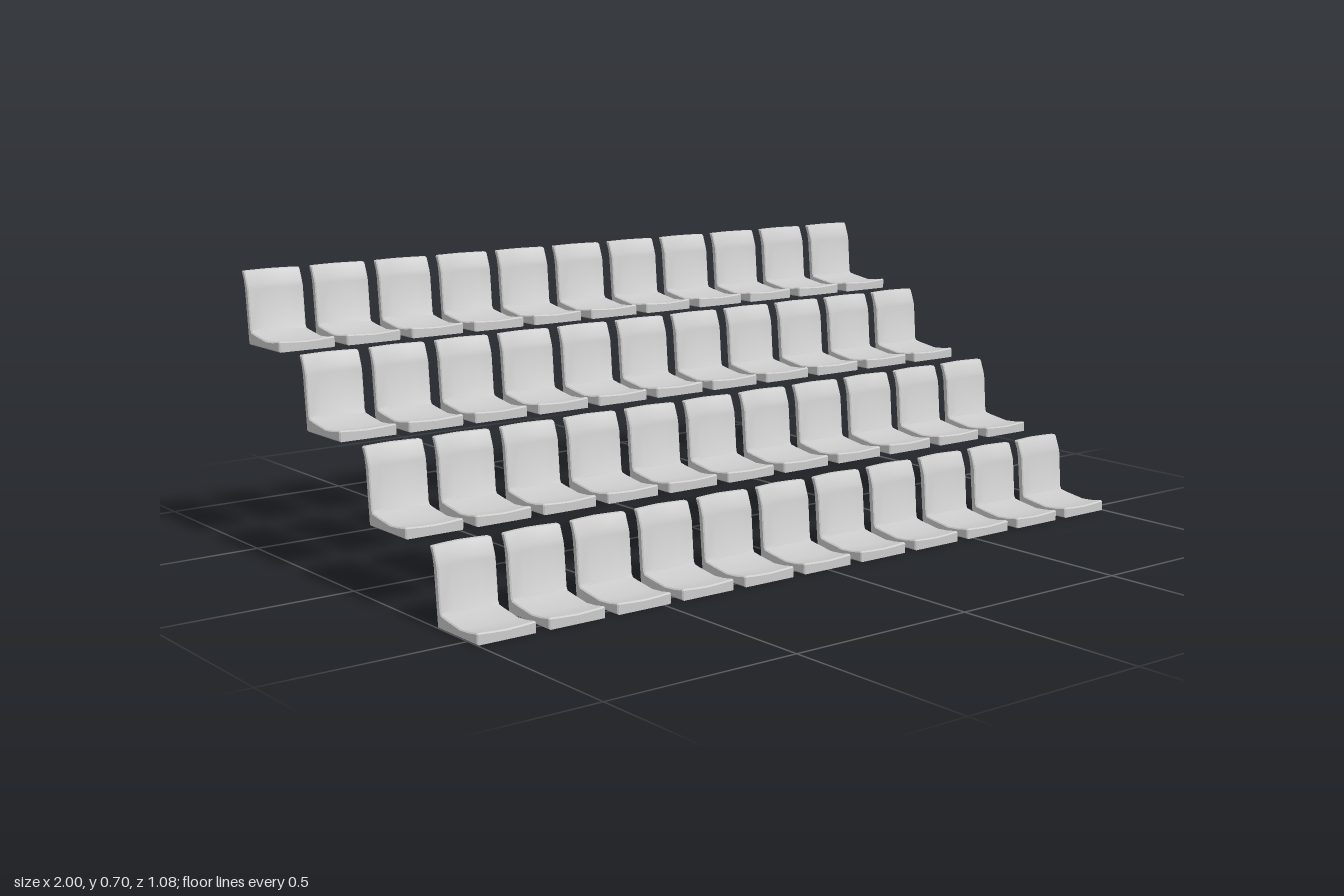
import * as THREE from 'three';
import { toCreasedNormals } from 'three/addons/utils/BufferGeometryUtils.js';

const ROWS = 4, COLS = 11;
const WIDTH = 0.152, DEPTH = 0.201, BEVEL = 0.003;
const ROW_STEP = 0.2925, ROW_RISE = 0.1735;

// One moulded seat shell: side profile (distance back, height) swept across the width
function seatGeometry() {
  const profile = [
    [0, 0], [0.164, 0], [0.177, 0.137], [0.182, 0.16], [0.191, 0.179], // underside and back
    [0.189, 0.182], [0.177, 0.182], [0.174, 0.179],                    // top edge
    [0.163, 0.15], [0.159, 0.137], [0.151, 0.039], [0.147, 0.032],     // backrest front
    [0.125, 0.028], [0.07, 0.02], [0.035, 0.022], [0.004, 0.027], [0, 0.024], // seat pan
  ];
  const shape = new THREE.Shape(profile.map(([u, y]) => new THREE.Vector2(u, y)));
  const geo = new THREE.ExtrudeGeometry(shape, {
    depth: WIDTH - 2 * BEVEL, steps: 4,
    bevelEnabled: true, bevelThickness: BEVEL, bevelSize: BEVEL, bevelOffset: -BEVEL, bevelSegments: 1,
  });
  geo.translate(0, 0, BEVEL - WIDTH / 2);
  geo.rotateY(Math.PI / 2);

  // Bow the backrest rearwards, more towards its top, and dish the pan towards the middle
  const p = geo.attributes.position;
  for (let i = 0; i < p.count; i++) {
    const y = p.getY(i);
    const curve = 1 - Math.pow(Math.abs(p.getX(i)) / (WIDTH / 2), 1.4);
    if (p.getZ(i) < -0.14) p.setZ(i, p.getZ(i) - (0.007 + 0.017 * y) * curve);
    else if (y > 0.01) p.setY(i, y - 0.004 * curve);
  }
  geo.translate(0, 0, DEPTH / 2);
  return toCreasedNormals(geo, 0.5);
}

export function createModel() {
  const model = new THREE.Group();
  model.name = 'tieredSeating';
  const material = new THREE.MeshStandardMaterial({ color: 0xcccccc });
  const geometry = seatGeometry();

  // Rows climb towards the back
  for (let r = 0; r < ROWS; r++) {
    const row = new THREE.Group();
    row.name = `seatRow${r + 1}`;
    row.position.set(0, r * ROW_RISE, ((ROWS - 1) / 2 - r) * ROW_STEP);
    for (let c = 0; c < COLS; c++) {
      const seat = new THREE.Mesh(geometry, material);
      seat.name = `seat${c + 1}`;
      seat.position.x = (c / (COLS - 1) - 0.5) * (2 - WIDTH);
      row.add(seat);
    }
    model.add(row);
  }
  return model;
}
